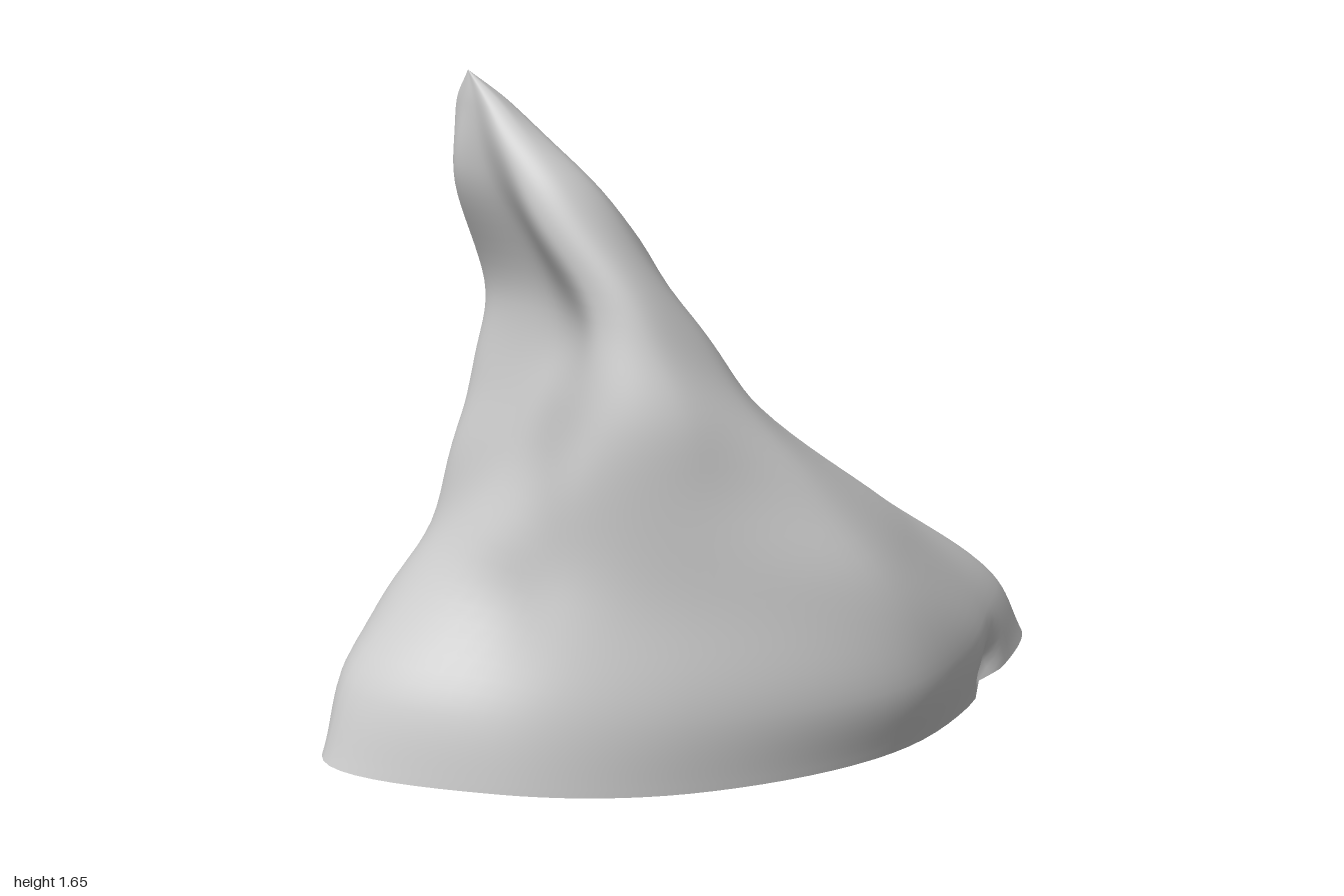
import * as THREE from 'three';

// Cross-sections of the rock, bottom to top: [height, [x, z] x 10], running
// from the right spur round the front, left spur and back.
const sections = [
  [0, [[1, .18], [.7, .41], [.18, .6], [-.38, .48], [-.76, .2], [-1, -.2], [-.7, -.43], [-.25, -.56], [.3, -.55], [.7, -.2]]],
  [.2, [[.87, .17], [.62, .43], [.16, .655], [-.4, .5], [-.72, .22], [-.92, -.2], [-.67, -.49], [-.18, -.64], [.35, -.59], [.67, -.25]]],
  [.5, [[.47, .1], [.36, .37], [.05, .61], [-.38, .49], [-.6, .28], [-.64, -.16], [-.59, -.37], [-.24, -.53], [.08, -.58], [.4, -.37]]],
  [.88, [[-.03, -.02], [-.06, .25], [-.17, .43], [-.39, .47], [-.555, .34], [-.49, .02], [-.52, -.26], [-.34, -.41], [-.1, -.5], [-.04, -.26]]],
  [1.1, [[-.155, -.05], [-.18, .15], [-.28, .32], [-.43, .385], [-.52, .3], [-.46, .04], [-.49, -.22], [-.42, -.35], [-.27, -.41], [-.17, -.25]]],
  [1.4, [[-.36, -.05], [-.38, .07], [-.44, .18], [-.53, .2], [-.6, .13], [-.58, -.03], [-.605, -.14], [-.54, -.23], [-.45, -.26], [-.38, -.17]]],
  [1.57, [[-.51, -.06], [-.52, -.03], [-.54, 0], [-.57, .02], [-.6, 0], [-.605, -.06], [-.61, -.11], [-.59, -.17], [-.55, -.18], [-.52, -.13]]],
];
const tip = new THREE.Vector3(-.6, 1.65, -.09);
const AROUND = 96, UP = 64;

// Local lumps and hollows: centre, radius, then push in x and z
const dents = [
  { at: [-.1, .62, -.55], r: .19, push: [0, -.07] },    // lump on the back
  { at: [.3, .55, -.47], r: .16, push: [-.03, .06] },   // hollow right of the lump
  { at: [-.36, .55, -.48], r: .13, push: [.04, .06] },  // hollow left of the lump
  { at: [-.7, .35, .08], r: .15, push: [.06, 0] },      // crease above the left spur
  { at: [-.28, 1.22, -.05], r: .14, push: [.035, 0] },  // shoulder below the peak
  { at: [.63, .04, .45], r: .07, push: [-.02, -.04] },  // chip at the front foot
].map(d => ({ ...d, at: new THREE.Vector3(...d.at) }));

function weather(p, t) {
  const q = p.clone();
  for (const { at, r, push } of dents) {
    const k = Math.exp(-p.distanceToSquared(at) / (r * r));
    q.x += push[0] * k;
    q.z += push[1] * k;
  }
  const wave = 0.007 * Math.sin(Math.PI * t) * Math.sin(p.y * 14 + p.x * 9) * Math.cos(p.z * 12 - p.y * 5);
  q.x += wave;
  q.z += wave;
  return q;
}

function makeMesh(name, positions, index) {
  const geo = new THREE.BufferGeometry();
  geo.setAttribute('position', new THREE.Float32BufferAttribute(positions, 3));
  geo.setIndex(index);
  geo.computeVertexNormals();
  const mesh = new THREE.Mesh(geo, new THREE.MeshStandardMaterial({ color: 0xcccccc }));
  mesh.name = name;
  return mesh;
}

export function createModel() {
  const group = new THREE.Group();
  group.name = 'rock';

  // Smooth vertical ridge lines through matching section points
  const ridges = sections[0][1].map((_, i) => new THREE.CatmullRomCurve3(
    [...sections.map(([y, pts]) => new THREE.Vector3(pts[i][0], y, pts[i][1])), tip]));

  // Rings across the ridges, closing at the peak
  const positions = [], index = [];
  for (let j = 0; j <= UP; j++) {
    const t = j / UP;
    const ring = new THREE.CatmullRomCurve3(ridges.map(r => r.getPoint(t)), true);
    for (let i = 0; i < AROUND; i++) {
      positions.push(...weather(j === UP ? tip : ring.getPoint(i / AROUND), t));
      if (j === UP) continue;
      const a = j * AROUND + i, b = j * AROUND + (i + 1) % AROUND;
      index.push(a, a + AROUND, b);
      if (j < UP - 1) index.push(b, a + AROUND, b + AROUND);
    }
  }
  group.add(makeMesh('rockBody', positions, index));

  // Flat underside
  const basePositions = [0, 0, 0, ...positions.slice(0, AROUND * 3)], baseIndex = [];
  for (let i = 0; i < AROUND; i++) baseIndex.push(0, i + 1, (i + 1) % AROUND + 1);
  group.add(makeMesh('rockBase', basePositions, baseIndex));

  return group;
}
